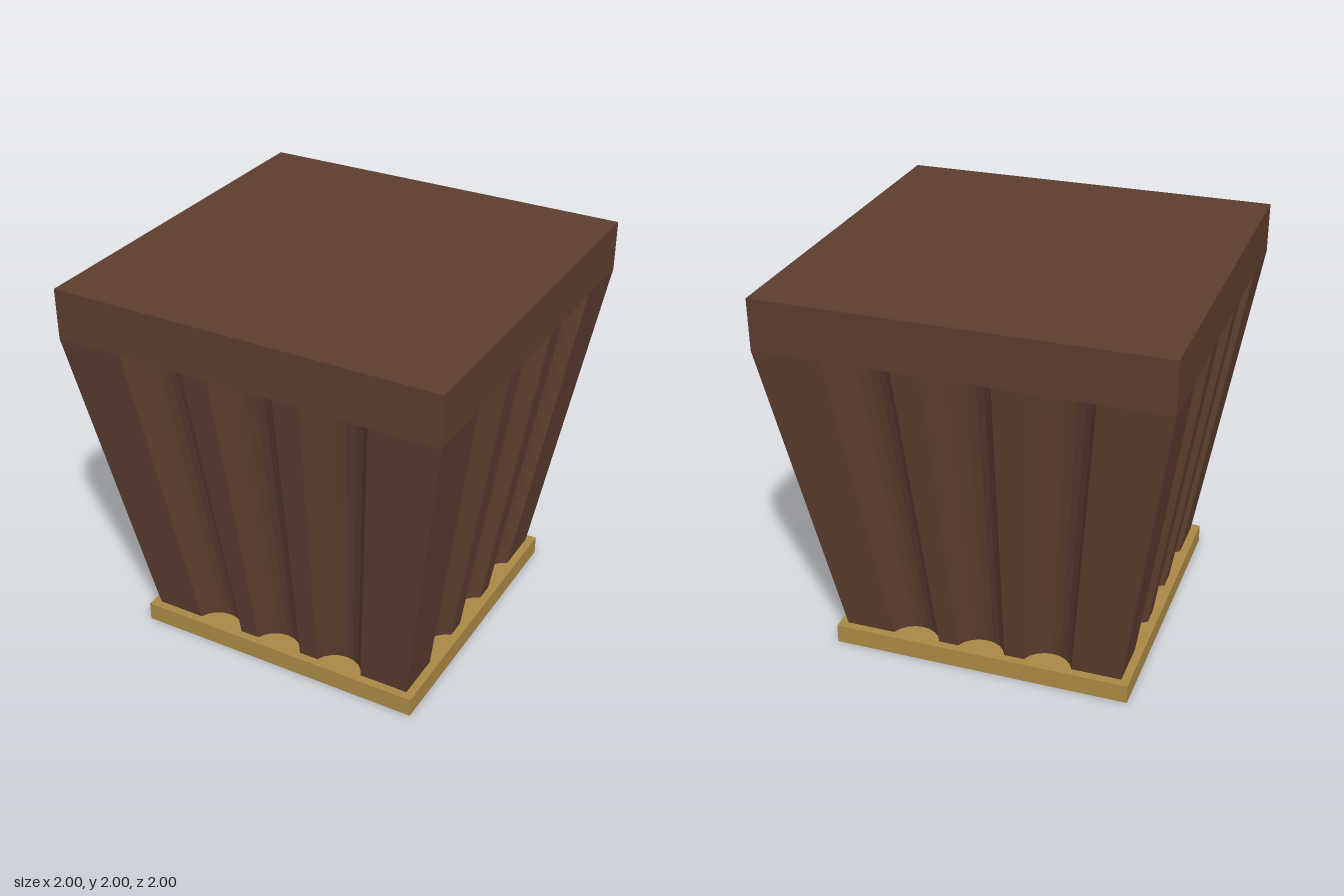
import * as THREE from 'three';

const RIM_Y = 1.74, PLATE_Y = 0.1, FOOT = 0.736;

// Half-outline of one fluted side at the rim: points (x, z) from left to right
function flutedSide() {
  const w = 0.17, d = 0.12, segments = 8;
  const r = (w * w + d * d) / (2 * d);
  const a = Math.asin(w / r);
  const pts = [[-1, 1]];
  for (const cx of [-0.48, 0, 0.48]) {
    for (let i = 0; i <= segments; i++) {
      const t = -a + (2 * a * i) / segments;
      pts.push([cx + r * Math.sin(t), 1 - (r * Math.cos(t) - (r - d))]);
    }
  }
  pts.push([1, 1]);
  return pts;
}

// One tapering wall: the outline shrinks evenly toward the foot
function wallGeometry() {
  const pts = flutedSide();
  const pos = [];
  const at = ([x, z], s, y) => [x * s, y, z * s];
  for (let i = 0; i < pts.length - 1; i++) {
    const a = at(pts[i], FOOT, PLATE_Y), b = at(pts[i + 1], FOOT, PLATE_Y);
    const c = at(pts[i + 1], 1, RIM_Y), e = at(pts[i], 1, RIM_Y);
    pos.push(...a, ...b, ...c, ...a, ...c, ...e);
  }
  const g = new THREE.BufferGeometry();
  g.setAttribute('position', new THREE.Float32BufferAttribute(pos, 3));
  g.computeVertexNormals();
  return g;
}

export function createModel() {
  const wood = new THREE.MeshStandardMaterial({ color: 0x5c3d2e });
  wood.name = 'darkWood';
  const brass = new THREE.MeshStandardMaterial({ color: 0xaa8844 });
  brass.name = 'brass';

  const model = new THREE.Group();
  model.name = 'flutedFoot';

  // Square slab on top
  const slab = new THREE.Mesh(new THREE.BoxGeometry(2, 2 - RIM_Y, 2), wood);
  slab.name = 'topSlab';
  slab.position.y = (2 + RIM_Y) / 2;
  model.add(slab);

  // Four fluted walls
  const body = new THREE.Group();
  body.name = 'flutedBody';
  const wall = wallGeometry();
  for (let i = 0; i < 4; i++) {
    const side = new THREE.Mesh(wall, wood);
    side.name = 'flutedWall' + (i + 1);
    side.rotation.y = (i * Math.PI) / 2;
    body.add(side);
  }
  model.add(body);

  // Thin base plate
  const plate = new THREE.Mesh(new THREE.BoxGeometry(1.56, PLATE_Y, 1.56), brass);
  plate.name = 'basePlate';
  plate.position.y = PLATE_Y / 2;
  model.add(plate);

  return model;
}
